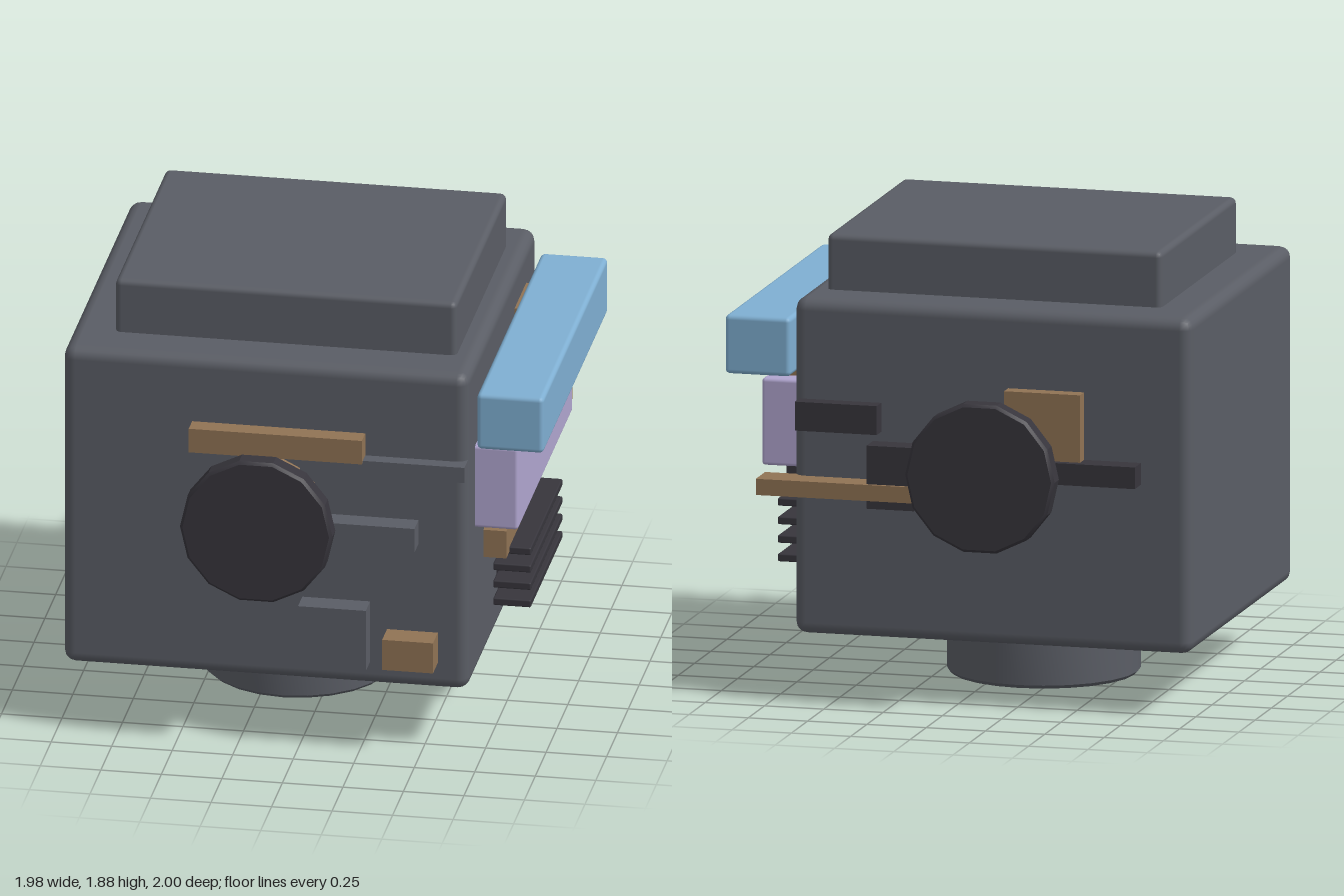
import * as THREE from 'three';
import { RoundedBoxGeometry } from 'three/addons/geometries/RoundedBoxGeometry.js';
import { toCreasedNormals } from 'three/addons/utils/BufferGeometryUtils.js';

function makeMaterial(name, color) {
  const m = new THREE.MeshStandardMaterial({ color });
  m.name = name;
  return m;
}

export function createModel() {
  const model = new THREE.Group();
  model.name = 'robotHead';
  const grey = makeMaterial('steelGrey', 0x5a5d65);
  const dark = makeMaterial('charcoal', 0x37353c);
  const brown = makeMaterial('bronze', 0x907354);
  const blue = makeMaterial('browBlue', 0x7fafd2);
  const purple = makeMaterial('visorLilac', 0xb0a5cf);

  function add(name, geometry, material) {
    const mesh = new THREE.Mesh(geometry, material);
    mesh.name = name;
    model.add(mesh);
    return mesh;
  }

  // Box from its limits; a radius rounds the edges
  function box(name, material, [x0, x1], [y0, y1], [z0, z1], radius = 0) {
    const size = [x1 - x0, y1 - y0, z1 - z0];
    const geometry = radius
      ? new RoundedBoxGeometry(...size, 2, radius)
      : new THREE.BoxGeometry(...size);
    const mesh = add(name, geometry, material);
    mesh.position.set((x0 + x1) / 2, (y0 + y1) / 2, (z0 + z1) / 2);
    return mesh;
  }

  // Upright disc with chamfered rims, centred on its own middle
  function disc(radius, height, sides, bevel, crease) {
    const h = height / 2;
    const profile = [
      [0, -h], [radius - bevel, -h], [radius, -h + bevel],
      [radius, h - bevel], [radius - bevel, h], [0, h],
    ].map(([x, y]) => new THREE.Vector2(x, y));
    return toCreasedNormals(new THREE.LatheGeometry(profile, sides, Math.PI / 2), crease);
  }

  // Skull, crown and neck
  box('skull', grey, [-0.99, 0.685], [0.26, 1.655], [-0.79, 0.79], 0.05);
  box('crown', grey, [-0.81, 0.6], [1.6, 1.885], [-0.585, 0.585], 0.025);
  add('neck', disc(0.395, 0.27, 24, 0.015, 0.5), grey).position.set(-0.155, 0.135, 0);

  // Face: brow, visor and mouth grille
  box('brow', blue, [0.712, 0.988], [1.315, 1.56], [-0.745, 0.745], 0.02);
  box('visor', purple, [0.66, 0.863], [0.92, 1.282], [-0.632, 0.632], 0.015);
  for (let i = 0; i < 4; i++) {
    const y = 0.483 + i * 0.077;
    box('mouthSlat', dark, [0.712, 0.868], [y - 0.016, y + 0.016], [-0.366, 0.366], 0.006);
  }

  // Ears on both sides
  for (const side of [1, -1]) {
    const stem = add('earStem', disc(0.255, 0.18, 20, 0.005, 0.5), brown);
    stem.position.set(-0.155, 0.99, side * 0.84);
    const cap = add('earDisc', disc(0.315, 0.09, 14, 0.012, 0.4), dark);
    cap.position.set(-0.155, 0.99, side * 0.955);
    stem.rotation.x = cap.rotation.x = side * Math.PI / 2;
  }

  // Small panels on the face
  const face = [
    [brown, 0.78, [0.71, 0.83], [0.05, 0.44]],
    [dark, 0.77, [0.825, 0.96], [-0.59, -0.25]],
    [dark, 0.73, [0.51, 0.742], [-0.07, 0.14]],
    [dark, 0.72, [0.52, 0.732], [-0.36, -0.145]],
    [brown, 0.79, [0.575, 0.71], [-0.145, 0]],
    [brown, 0.785, [1.25, 1.505], [-0.55, -0.28]],
  ];
  for (const [material, depth, y, z] of face) box('facePanel', material, [0.65, depth], y, z);

  // Small panels on the left side
  const left = [
    [brown, 0.87, [-0.455, 0.26], [1.268, 1.372]],
    [grey, 0.848, [0, 0.68], [1.208, 1.275]],
    [grey, 0.884, [0, 0.48], [0.9, 1.005]],
    [grey, 0.89, [0, 0.28], [0.363, 0.63]],
    [brown, 0.903, [0.35, 0.56], [0.38, 0.513]],
  ];
  for (const [material, depth, x, y] of left) box('leftPanel', material, x, y, [0.76, depth]);

  // Small panels on the right side
  const right = [
    [brown, 0.903, [0, 0.813], [0.853, 0.92]],
    [dark, 0.888, [0.15, 0.35], [0.818, 1.08]],
    [dark, 0.86, [0.315, 0.66], [1.12, 1.24]],
    [dark, 0.885, [-0.78, -0.35], [0.96, 1.05]],
    [brown, 0.853, [-0.54, -0.22], [1.04, 1.33]],
  ];
  for (const [material, depth, x, y] of right) box('rightPanel', material, x, y, [-depth, -0.76]);

  return model;
}
